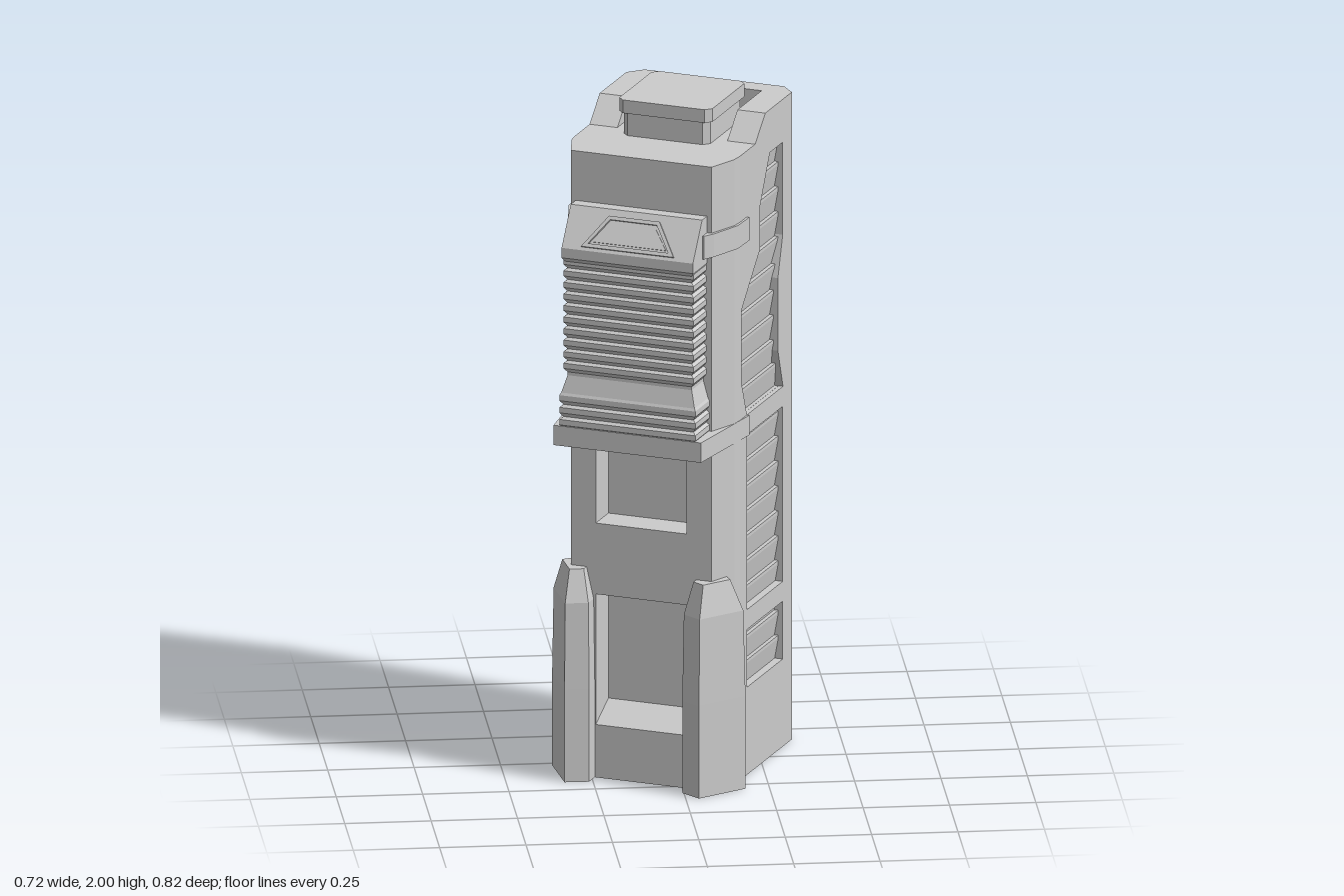
import * as THREE from 'three';

const concrete = new THREE.MeshStandardMaterial({ color: 0xcccccc });
concrete.name = 'pale concrete';

export function createModel() {
  const model = new THREE.Group();
  model.name = 'tower';
  const tower = new THREE.Group();
  tower.name = 'turnedTower';
  tower.position.set(-0.006, 0, -0.003);
  tower.rotation.y = -0.471;
  model.add(tower);

  const add = (name, geometry, x = 0, y = 0, z = 0) => {
    const mesh = new THREE.Mesh(geometry, concrete);
    mesh.name = name;
    mesh.position.set(x, y, z);
    tower.add(mesh);
    return mesh;
  };
  const toShape = (pts, holes = []) => {
    const shape = new THREE.Shape(pts.map(p => new THREE.Vector2(...p)));
    shape.holes = holes.map(h => new THREE.Path(h.map(p => new THREE.Vector2(...p))));
    return shape;
  };
  const extrude = (pts, depth, holes) =>
    new THREE.ExtrudeGeometry(toShape(pts, holes), { depth, bevelEnabled: false });
  // upright prism from a plan of [x, z] points
  const prism = (name, plan, y0, y1) => {
    const g = extrude(plan.map(([x, z]) => [x, -z]), y1 - y0);
    g.rotateX(-Math.PI / 2);
    return add(name, g, 0, y0);
  };
  // slab from a [z, y] outline whose outer face lies at x
  const sideSlab = (name, pts, x, depth, holes) => {
    const g = extrude(pts, depth, holes);
    g.rotateY(-Math.PI / 2);
    return add(name, g, x);
  };
  const mirror = (pts, s) => pts.map(([x, z]) => [s * x, z]);
  // walls and caps through rings of [x, y, z] points, lowest ring first
  const loft = (name, rings) => {
    const pos = [];
    const n = rings[0].length;
    const tri = (...pts) => pts.forEach(p => pos.push(...p));
    for (let r = 0; r + 1 < rings.length; r++) {
      const a = rings[r], b = rings[r + 1];
      for (let i = 0; i < n; i++) {
        const j = (i + 1) % n;
        tri(a[i], a[j], b[j]);
        tri(a[i], b[j], b[i]);
      }
    }
    const low = rings[0], top = rings[rings.length - 1];
    for (let i = 1; i + 1 < n; i++) {
      tri(low[0], low[i + 1], low[i]);
      tri(top[0], top[i], top[i + 1]);
    }
    const g = new THREE.BufferGeometry();
    g.setAttribute('position', new THREE.Float32BufferAttribute(pos, 3));
    g.computeVertexNormals();
    return add(name, g);
  };
  const rect = (l, r, b, t) => [[l, b], [r, b], [r, t], [l, t]];
  const box = (half, back, front, y) =>
    [[-half, y, back], [-half, y, front], [half, y, front], [half, y, back]];

  const SIDE = 0.256, BACK = -0.342, SKIN = 0.03, ROOF = 1.89, TOP = 1.96;

  // body core behind the skin panels
  prism('core', [[-0.226, -0.312], [0.226, -0.312], [0.226, 0.135], [-0.226, 0.135]], 0, ROOF);

  // front wall with two deep openings and a sloping sill
  add('frontWall', extrude(rect(-0.217, 0.217, 0, ROOF), 0.1, [
    rect(-0.141, 0.139, 0.77, 1.03), rect(-0.141, 0.141, 0.16, 0.555),
  ]), 0, 0, 0.135);
  sideSlab('doorSill', [[0.135, 0.16], [0.235, 0.16], [0.135, 0.21]], 0.141, 0.282);

  // louvre profile: [depth, y] teeth, running up the windows
  const teeth = [[0, 0.26]];
  for (let y = 0.26; y < 1.83; y += 0.0755) teeth.push([0.004, y], [0.016, y + 0.066], [0.016, y + 0.0755]);
  teeth.push([0, teeth[teeth.length - 1][1]]);

  // side panels with three windows, louvres, corners and parapets
  const sideOutline = [[-0.3, 0], [0.11, 0], [0.11, ROOF], [-0.01, ROOF], [-0.09, TOP], [-0.3, TOP]];
  const sideWindows = [
    rect(-0.228, 0.055, 0.265, 0.44),
    rect(-0.228, 0.055, 0.5, 1.03),
    [[-0.23, 1.09], [0.055, 1.09], [0.098, 1.2], [0.098, 1.42], [-0.048, 1.56],
      [-0.048, 1.69], [-0.127, 1.83], [-0.228, 1.83], [-0.228, 1.55], [-0.19, 1.43], [-0.19, 1.21]],
  ];
  for (const s of [1, -1]) {
    sideSlab('sidePanel', sideOutline, s > 0 ? SIDE : -SIDE + SKIN, SKIN, sideWindows);
    const louvre = extrude(teeth.map(([d, y]) => [s * d, y]), 0.34);
    add('sideLouvres', louvre, s * 0.226, 0, -0.236);
    prism('frontCorner', mirror([[0.2, 0.1], [SIDE, 0.11], [0.252, 0.145], [0.217, 0.235], [0.2, 0.235]], s), 0, ROOF);
    prism('backCorner', mirror([[0.216, BACK], [SIDE, -0.3], [0.226, -0.3], [0.216, -0.312]], s), 0, TOP);
    sideSlab('parapetSide', [[-0.312, ROOF], [-0.01, ROOF], [-0.09, TOP], [-0.312, TOP]],
      s > 0 ? 0.226 : -0.17, 0.056);
  }
  add('parapetBack', new THREE.BoxGeometry(0.44, TOP - ROOF, 0.032), 0, (TOP + ROOF) / 2, -0.297);

  // back panel with its own windows
  add('backPanel', extrude(rect(-0.216, 0.216, 0, TOP), SKIN, [
    rect(-0.14, 0.158, 0.265, 0.44),
    [[-0.105, 0.5], [0.158, 0.5], [0.158, 1.03], [-0.14, 1.03], [-0.14, 0.8], [-0.105, 0.72]],
    [[-0.14, 1.09], [0.158, 1.09], [0.145, 1.2], [0.078, 1.6], [0.078, 1.83], [-0.14, 1.83],
      [-0.14, 1.67], [-0.1, 1.55], [-0.1, 1.22]],
  ]), 0, 0, BACK);
  const backLouvre = extrude(teeth, 0.32);
  backLouvre.rotateY(Math.PI / 2);
  add('backLouvres', backLouvre, -0.15, 0, -0.312);

  // roof cap
  const octagon = (h, c) => [[-h, c - h], [c - h, -h], [h - c, -h], [h, c - h], [h, h - c], [h - c, h], [c - h, h], [-h, h - c]]
    .map(([x, z]) => [x, z - 0.085]);
  prism('capBase', octagon(0.134, 0.018), ROOF, 1.965);
  prism('cap', octagon(0.144, 0.018), 1.96, 2);

  // belt and overhanging bay
  prism('belt', [[-0.264, 0.055], [-0.228, 0.347], [0.228, 0.347], [0.264, 0.055]], 1.03, 1.09);
  const bay = [];
  const bayRing = (y, e) => bay.push(box(0.192 + e, 0.2, 0.328 + e, y));
  const ribs = (y0, y1, e) => {
    const step = (y1 - y0) / Math.round((y1 - y0) / 0.036);
    for (let y = y0; y < y1 - 0.001; y += step) {
      bayRing(y, e);
      bayRing(y + step * 0.35, e + 0.009);
      bayRing(y + step * 0.8, e + 0.009);
    }
  };
  ribs(1.08, 1.19, 0.009);
  bayRing(1.19, 0.014);
  bayRing(1.24, 0);
  ribs(1.25, 1.6, 0);
  loft('ribbedBay', bay);
  loft('bayHood', [box(0.195, 0.2, 0.335, 1.585), box(0.203, 0.2, 0.347, 1.6),
    box(0.203, 0.2, 0.347, 1.63), box(0.203, 0.2, 0.274, 1.74)]);

  // hatch on the sloping hood
  const hatch = (name, inset, depth, holes) => {
    const g = extrude([[-0.143 + inset * 1.6, 0.01 + inset], [0.143 - inset * 1.6, 0.01 + inset],
      [0.078 - inset * 0.6, 0.11 - inset], [-0.078 + inset * 0.6, 0.11 - inset]], depth, holes);
    add(name, g, 0, 1.63, 0.347).rotation.x = -0.586;
  };
  hatch('hatchFrame', 0, 0.007, [[[-0.124, 0.021], [0.124, 0.021], [0.072, 0.099], [-0.072, 0.099]]]);
  hatch('hatchPlate', 0.018, 0.003);

  for (const s of [1, -1]) {
    // strap tying the hood to the body side
    prism('strap', mirror([[0.195, 0.27], [0.207, 0.27], [0.226, 0.237], [0.262, 0.14],
      [0.264, 0.055], [0.24, 0.055], [0.195, 0.2]], s), 1.62, 1.69);

    // buttress leg with a tapered top
    const plan = [[0.144, 0.15], [0.144, 0.28], [0.208, 0.311], [0.299, 0.176], [0.264, 0.136]];
    const ring = (y, k) => {
      const pts = plan.map(([x, z]) => [s * (0.205 + (x - 0.205) * k), y, 0.225 + (z - 0.225) * k]);
      return s > 0 ? pts : pts.reverse();
    };
    loft('buttressLeg', [ring(0, 1), ring(0.28, 1), ring(0.54, 0.94), ring(0.635, 0.58)]);
  }
  return model;
}
